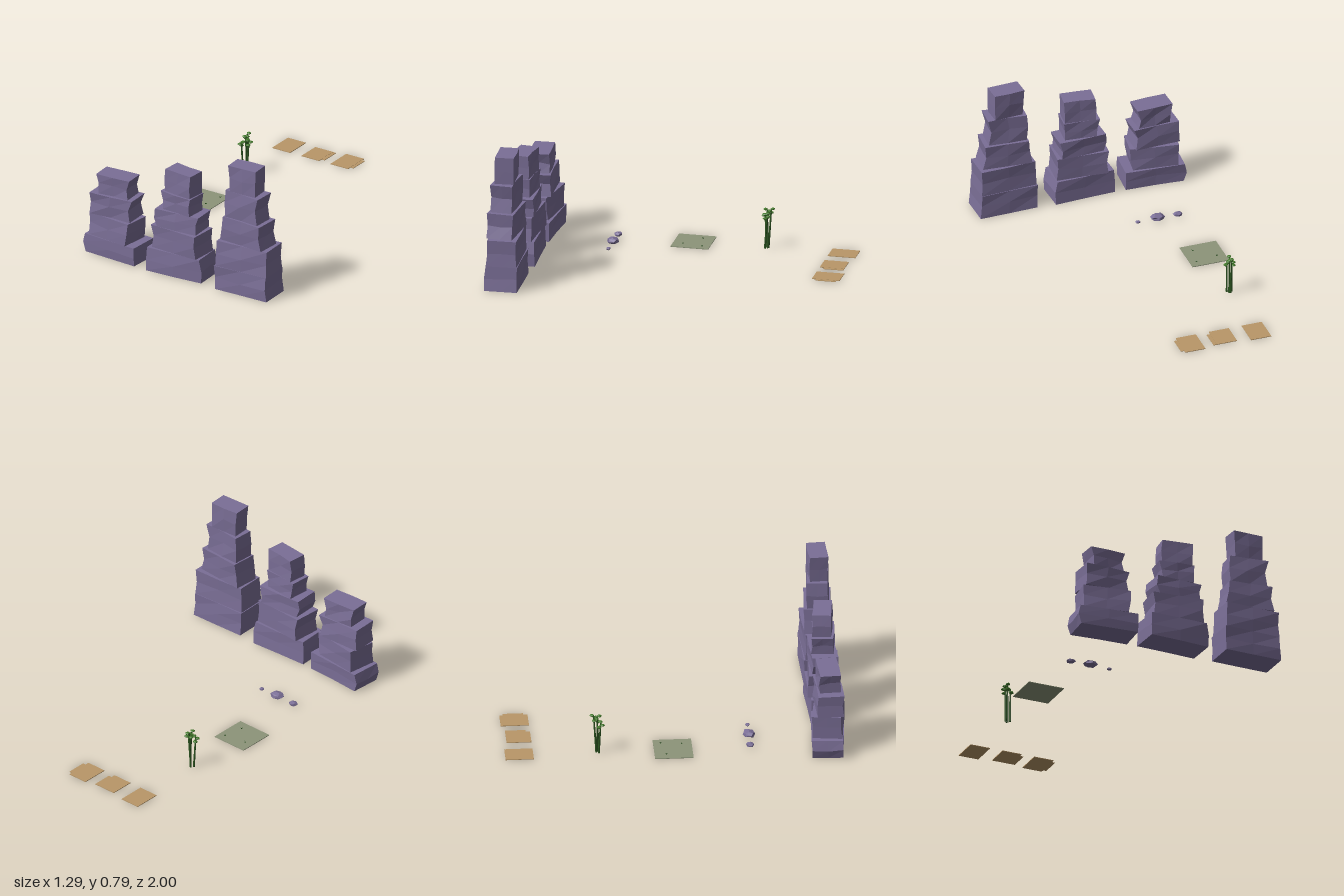
import * as THREE from 'three';

const mat = (name, color, flatShading = true) => {
  const m = new THREE.MeshStandardMaterial({ color, flatShading });
  m.name = name;
  return m;
};

// Small repeatable hash in -1..1, so shared corners move together
const hash = (a, b, c, s) => {
  const v = Math.sin(a * 127.1 + b * 311.7 + c * 74.7 + s * 53.3) * 43758.5453;
  return (v - Math.floor(v)) * 2 - 1;
};

// Each layer: top height, depth, yaw, then [left, right] at bottom, middle and top
const STACKS = {
  leftPillar: [
    [0.115, 0.185, -0.06, [-0.63, -0.265], [-0.648, -0.265], [-0.635, -0.265]],
    [0.255, 0.17, -0.13, [-0.61, -0.315], [-0.61, -0.302], [-0.612, -0.298]],
    [0.39, 0.15, 0.04, [-0.605, -0.325], [-0.6, -0.338], [-0.603, -0.315]],
    [0.51, 0.12, 0.05, [-0.55, -0.348], [-0.552, -0.36], [-0.568, -0.34]],
  ],
  middlePillar: [
    [0.147, 0.185, 0.05, [-0.2, 0.182], [-0.2, 0.185], [-0.195, 0.17]],
    [0.29, 0.17, -0.06, [-0.165, 0.16], [-0.155, 0.15], [-0.17, 0.155]],
    [0.4, 0.15, 0.05, [-0.135, 0.135], [-0.155, 0.132], [-0.148, 0.148]],
    [0.51, 0.13, -0.07, [-0.1, 0.102], [-0.105, 0.1], [-0.12, 0.107]],
    [0.652, 0.11, -0.1, [-0.097, 0.1], [-0.103, 0.1], [-0.095, 0.104]],
  ],
  rightPillar: [
    [0.15, 0.19, 0.03, [0.285, 0.645], [0.283, 0.636], [0.28, 0.635]],
    [0.31, 0.175, 0.04, [0.285, 0.637], [0.288, 0.632], [0.292, 0.637]],
    [0.462, 0.155, -0.06, [0.303, 0.612], [0.318, 0.592], [0.325, 0.6]],
    [0.63, 0.125, -0.05, [0.335, 0.572], [0.328, 0.557], [0.335, 0.578]],
    [0.793, 0.11, 0.06, [0.36, 0.54], [0.357, 0.542], [0.35, 0.543]],
  ],
};

// Rough block whose three rings follow the given widths
function block(y0, [y1, depth, yaw, ...rows], seed) {
  const g = new THREE.BoxGeometry(2, 2, 2, 2, 2, 2);
  const p = g.attributes.position;
  const c = Math.cos(yaw), s = Math.sin(yaw);
  for (let i = 0; i < p.count; i++) {
    const a = Math.round(p.getX(i)), b = Math.round(p.getY(i)), d = Math.round(p.getZ(i));
    const [l, r] = rows[b + 1];
    const hd = depth / 2;
    const hw = (r - l) / 2 - hd * Math.abs(s);
    const x = a * hw, z = d * (hd + hash(a, b, d, seed) * 0.006);
    const y = y0 + (y1 - y0) * (b + 1) / 2 + (b ? 0 : hash(a, d, 3, seed) * 0.008);
    p.setXYZ(i, (l + r) / 2 + x * c + z * s, y, 0.89 - x * s + z * c);
  }
  g.computeVertexNormals();
  return g;
}

export function createModel() {
  const model = new THREE.Group();
  const stone = mat('purple stone', 0x7b6f97);
  const moss = mat('mossy ground', 0x8d957a);
  const tan = mat('tan board', 0xb99768);
  const stalkGreen = mat('stalk green', 0x2c5420);
  const leafGreen = mat('leaf green', 0x447a2c);

  const add = (parent, name, geo, m, x = 0, y = 0, z = 0) => {
    const mesh = new THREE.Mesh(geo, m);
    mesh.name = name;
    mesh.position.set(x, y, z);
    parent.add(mesh);
    return mesh;
  };
  const group = (name) => {
    const g = new THREE.Group();
    g.name = name;
    model.add(g);
    return g;
  };

  // Rock pillars
  Object.entries(STACKS).forEach(([name, layers], k) => {
    const g = group(name);
    let y = 0;
    layers.forEach((layer, i) => {
      add(g, 'stoneBlock' + (i + 1), block(y, layer, k * 10 + i), stone);
      y = layer[0];
    });
  });

  // Loose pebbles: x, half width, half height, half depth
  const pebbles = group('pebbles');
  [[-0.455, 0.029, 0.013, 0.024], [-0.33, 0.046, 0.019, 0.038], [-0.208, 0.015, 0.009, 0.014]]
    .forEach(([x, w, h, d], k) => {
      const geo = new THREE.DodecahedronGeometry(1, 0);
      const p = geo.attributes.position;
      for (let i = 0; i < p.count; i++) {
        const q = [p.getX(i), p.getY(i), p.getZ(i)].map((v) => Math.round(v * 10));
        const f = 1 + 0.12 * hash(...q, k);
        p.setXYZ(i, p.getX(i) * f * w, p.getY(i) * f * h, p.getZ(i) * f * d);
      }
      geo.computeVertexNormals();
      add(pebbles, 'pebble', geo, stone, x, h, 0.435);
    });

  // Ground tile with three little sprouts
  const ground = group('groundTile');
  add(ground, 'tile', new THREE.BoxGeometry(0.225, 0.004, 0.225), moss, -0.457, 0.002, -0.017);
  [[-0.52, -0.06], [-0.385, -0.085], [-0.405, 0.037]].forEach(([x, z]) => {
    for (let i = 0; i < 3; i++) {
      const a = i * 2.1;
      const blade = add(ground, 'sprout', new THREE.ConeGeometry(0.003, 0.011, 4), stalkGreen,
        x + Math.cos(a) * 0.004, 0.008, z + Math.sin(a) * 0.004);
      blade.rotation.set(Math.sin(a) * 0.5, 0, -Math.cos(a) * 0.5);
    }
  });

  // Bamboo: foot x, z and tip x, y, z of each stalk
  const bamboo = group('bamboo');
  const up = new THREE.Vector3(0, 1, 0);
  [
    [-0.47, -0.452, -0.475, 0.2, -0.442],
    [-0.452, -0.462, -0.455, 0.235, -0.459],
    [-0.442, -0.448, -0.436, 0.212, -0.462],
    [-0.458, -0.466, -0.46, 0.24, -0.482],
  ].forEach(([x0, z0, x1, y1, z1], k) => {
    const foot = new THREE.Vector3(x0, 0, z0);
    const dir = new THREE.Vector3(x1, y1, z1).sub(foot);
    const stalk = add(bamboo, 'stalk', new THREE.CylinderGeometry(0.0045, 0.006, dir.length(), 6), stalkGreen);
    stalk.position.copy(foot).addScaledVector(dir, 0.5);
    stalk.quaternion.setFromUnitVectors(up, dir.clone().normalize());
    for (let i = 0; i < 3; i++) {
      const a = k * 1.7 + i * 2.1;
      const leaf = add(bamboo, 'leafTuft', new THREE.IcosahedronGeometry(0.015, 0), leafGreen,
        x1 + Math.cos(a) * 0.011, y1 + 0.004 - i * 0.014, z1 + Math.sin(a) * 0.011);
      leaf.scale.set(1, 0.5, 1);
      leaf.rotation.y = a;
    }
  });

  // Flat boards: x range and z range
  const boards = group('boards');
  [
    [-0.52, -0.395, -1, -0.835, 0.004],
    [-0.315, -0.192, -0.98, -0.835, 0.004],
    [-0.3, -0.17, -0.98, -0.86, 0.003],
    [-0.112, 0.012, -1, -0.835, 0.004],
    [-0.1, 0.032, -0.98, -0.86, 0.003],
  ].forEach(([x0, x1, z0, z1, h]) =>
    add(boards, 'board', new THREE.BoxGeometry(x1 - x0, h, z1 - z0), tan, (x0 + x1) / 2, h / 2, (z0 + z1) / 2));

  return model;
}
